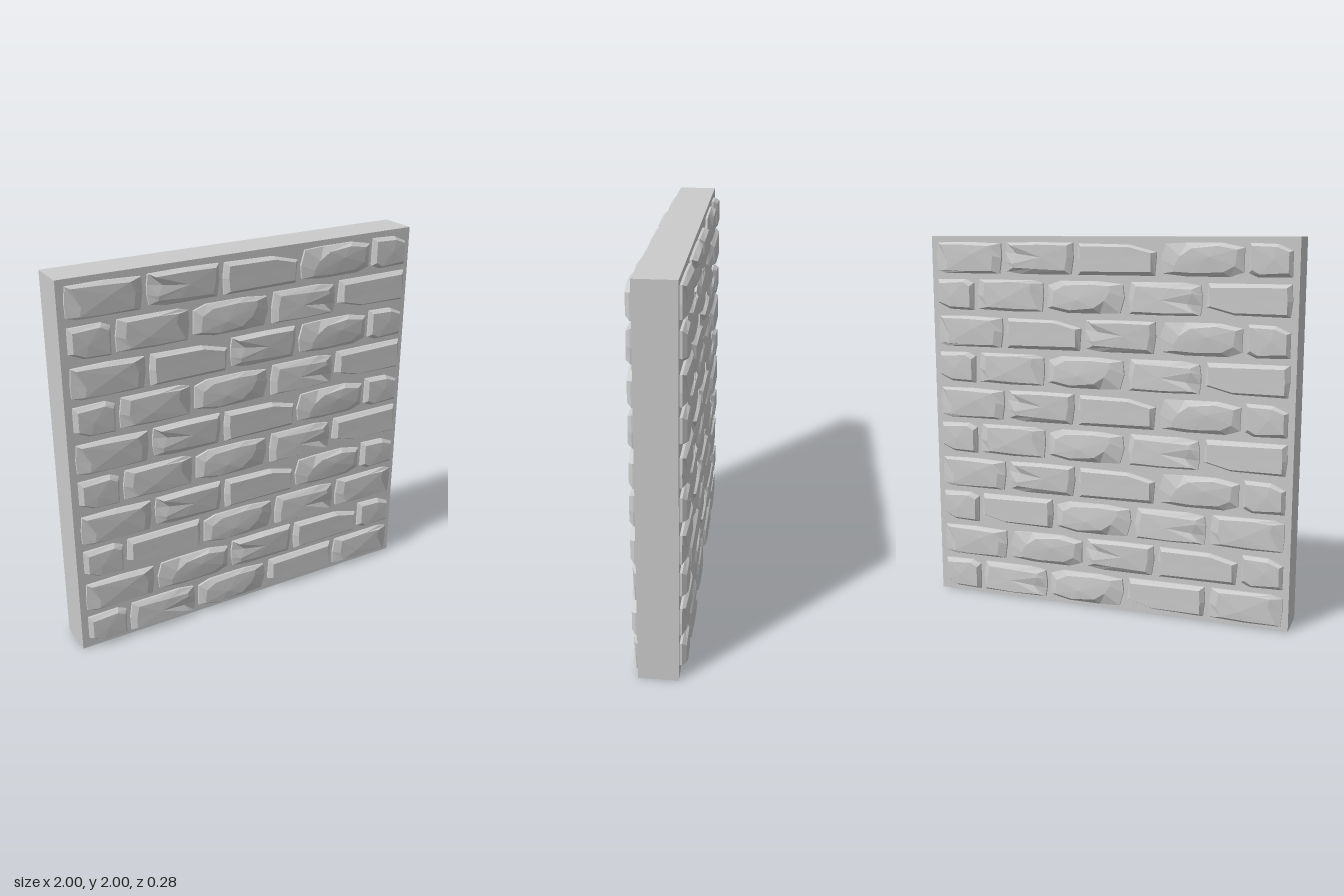
import * as THREE from 'three';

const T = 0.1;          // half thickness of the wall slab
const RIM = 0.012;      // straight rim of a brick before its bevel

// Each brick: width, crown point [x, y, z], and a counter-clockwise loop of
// [rimX, rimY, shoulderX, shoulderY, shoulderZ] around its centre.
const BRICKS = {
  // worn brick with a sloping right end
  worn: { w: 0.39, crown: [0.03, 0.02, 0.036], loop: [
    [-0.19, -0.068, -0.13, -0.066, 0.03], [-0.14, -0.083, -0.02, -0.072, 0.03],
    [0.18, -0.083, 0.14, -0.068, 0.031], [0.193, 0, 0.15, 0.01, 0.031],
    [0.19, 0.075, 0.125, 0.062, 0.033], [0, 0.083, -0.02, 0.068, 0.032],
    [-0.185, 0.08, -0.165, 0.07, 0.027], [-0.193, 0, -0.12, -0.02, 0.03]] },
  // brick with a chip out of the upper left corner
  chipped: { w: 0.39, crown: [0.02, 0.005, 0.036], loop: [
    [-0.185, -0.07, -0.14, -0.05, 0.03], [-0.1, -0.083, -0.03, -0.055, 0.032],
    [0.18, -0.083, 0.15, -0.062, 0.03], [0.193, 0, 0.165, 0.01, 0.031],
    [0.19, 0.08, 0.165, 0.066, 0.033], [0, 0.083, 0, 0.07, 0.037],
    [-0.185, 0.08, -0.155, 0.066, 0.035], [-0.193, 0.03, -0.118, 0.022, 0.024],
    [-0.193, -0.02, -0.145, -0.03, 0.032]] },
  // crisp block with a cut upper right corner
  block: { w: 0.43, crown: [0, 0, 0.034], loop: [
    [-0.21, -0.083, -0.187, -0.066, 0.033], [0.205, -0.083, 0.19, -0.062, 0.034],
    [0.214, 0.035, 0.19, 0.03, 0.034], [0.07, 0.072, 0.07, 0.06, 0.035],
    [-0.205, 0.078, -0.19, 0.062, 0.034], [-0.214, 0, -0.192, 0, 0.033]] },
  // rounded brick with a long curved slope on the left
  rounded: { w: 0.43, crown: [0.04, 0.015, 0.038], loop: [
    [-0.205, -0.07, -0.14, -0.06, 0.027], [-0.08, -0.083, -0.03, -0.066, 0.029],
    [0.14, -0.083, 0.11, -0.06, 0.03], [0.21, -0.06, 0.17, -0.03, 0.031],
    [0.213, 0.06, 0.18, 0.05, 0.032], [0.1, 0.083, 0.08, 0.068, 0.034],
    [-0.08, 0.083, -0.05, 0.055, 0.035], [-0.19, 0.078, -0.11, 0.015, 0.032],
    [-0.213, 0, -0.14, -0.03, 0.029]] },
  // half brick for the row ends
  half: { w: 0.215, crown: [0.015, 0.005, 0.036], loop: [
    [-0.107, -0.062, -0.09, -0.046, 0.031], [-0.06, -0.083, -0.05, -0.068, 0.032],
    [0.107, -0.08, 0.09, -0.06, 0.032], [0.107, 0.045, 0.09, 0.04, 0.032],
    [0.035, 0.078, 0.03, 0.064, 0.034], [-0.104, 0.083, -0.09, 0.068, 0.032]] },
};

const EVEN = ['half', 'worn', 'rounded', 'chipped', 'block'];
const ODD = ['worn', 'chipped', 'block', 'rounded', 'half'];
// Rows from the top down; every second row is laid with its bricks turned round.
const ROWS = [
  ODD, EVEN, ['worn', 'block', 'chipped', 'rounded', 'half'], EVEN, ODD, EVEN, ODD,
  ['half', 'block', 'rounded', 'chipped', 'worn'],
  ['worn', 'rounded', 'chipped', 'block', 'half'],
  ['half', 'chipped', 'rounded', 'block', 'worn'],
];

// Base loop, rim loop and shoulder loop, closed by a fan to the crown
function brickGeometry({ loop, crown }) {
  const n = loop.length;
  const pos = [], index = [];
  loop.forEach(([x, y]) => pos.push(x, y, 0));
  loop.forEach(([x, y]) => pos.push(x, y, RIM));
  loop.forEach(([, , x, y, z]) => pos.push(x, y, z));
  pos.push(...crown);
  for (let i = 0; i < n; i++) {
    const j = (i + 1) % n;
    for (const a of [0, n]) {
      index.push(a + i, a + j, a + n + j, a + i, a + n + j, a + n + i);
    }
    index.push(2 * n + i, 2 * n + j, 3 * n);
  }
  const g = new THREE.BufferGeometry();
  g.setAttribute('position', new THREE.Float32BufferAttribute(pos, 3));
  g.setIndex(index);
  const flat = g.toNonIndexed();
  flat.computeVertexNormals();
  return flat;
}

export function createModel() {
  const model = new THREE.Group();
  model.name = 'brickWall';
  const material = new THREE.MeshStandardMaterial({ color: 0xcccccc, flatShading: true });

  // Mortar slab
  const slab = new THREE.Mesh(new THREE.BoxGeometry(2, 2, 2 * T), material);
  slab.name = 'mortarSlab';
  slab.position.y = 1;
  model.add(slab);

  const geometries = {};
  for (const type in BRICKS) geometries[type] = brickGeometry(BRICKS[type]);

  // The same brickwork on both faces
  for (const side of ['front', 'back']) {
    const face = new THREE.Group();
    face.name = side + 'Bricks';
    face.rotation.y = side === 'back' ? Math.PI : 0;
    ROWS.forEach((row, r) => {
      const turned = r % 2 === 1;
      let x = turned ? -0.963 : -0.968;
      for (const type of row) {
        const { w } = BRICKS[type];
        const brick = new THREE.Mesh(geometries[type], material);
        brick.name = type + 'Brick';
        brick.position.set(x + w / 2, 1.887 - r * 0.1977, T);
        brick.rotation.z = turned ? Math.PI : 0;
        face.add(brick);
        x += w + 0.02;
      }
    });
    model.add(face);
  }
  return model;
}
